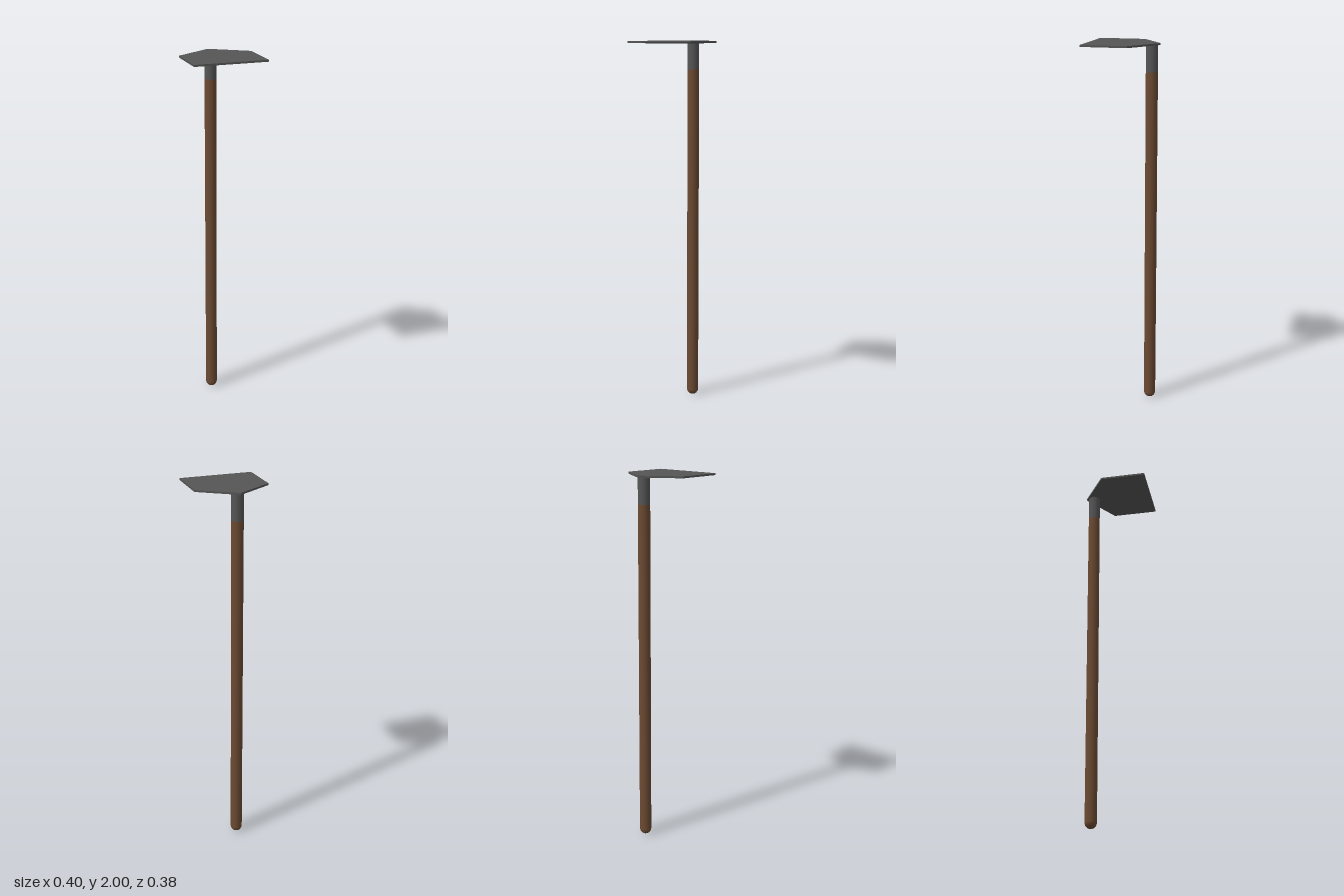
import * as THREE from 'three';

const HANDLE_Z = -0.144, RADIUS = 0.032, SOCKET_Y = 1.85, BLADE = 0.01;

export function createModel() {
  const hoe = new THREE.Group();
  hoe.name = 'hoe';
  const wood = new THREE.MeshStandardMaterial({ color: 0x6b4a32 });
  const steel = new THREE.MeshStandardMaterial({ color: 0x555555 });

  const add = (name, geometry, material, y, z) => {
    const mesh = new THREE.Mesh(geometry, material);
    mesh.name = name;
    mesh.position.set(0, y, z);
    hoe.add(mesh);
    return mesh;
  };

  // Wooden shaft with a rounded butt
  const profile = [];
  for (let i = 0; i <= 8; i++) {
    const a = (i / 8) * Math.PI / 2;
    profile.push(new THREE.Vector2(RADIUS * Math.sin(a), RADIUS * (1 - Math.cos(a))));
  }
  profile.push(new THREE.Vector2(RADIUS, SOCKET_Y));
  add('handle', new THREE.LatheGeometry(profile, 32), wood, 0, HANDLE_Z);

  // Steel socket joining shaft and blade
  const socketHeight = 2 - BLADE - SOCKET_Y;
  add('socket', new THREE.CylinderGeometry(RADIUS, RADIUS, socketHeight, 32), steel,
    SOCKET_Y + socketHeight / 2, HANDLE_Z);

  // Flat five-sided blade, pointed at the back (shape y becomes -z)
  const outline = new THREE.Shape([
    [-0.198, -0.19], [0.198, -0.19], [0.198, 0.06], [0, 0.19], [-0.198, 0.06],
  ].map(([x, y]) => new THREE.Vector2(x, y)));
  const blade = new THREE.ExtrudeGeometry(outline, { depth: BLADE, bevelEnabled: false });
  blade.rotateX(-Math.PI / 2);
  add('blade', blade, steel, 2 - BLADE, 0);

  return hoe;
}
